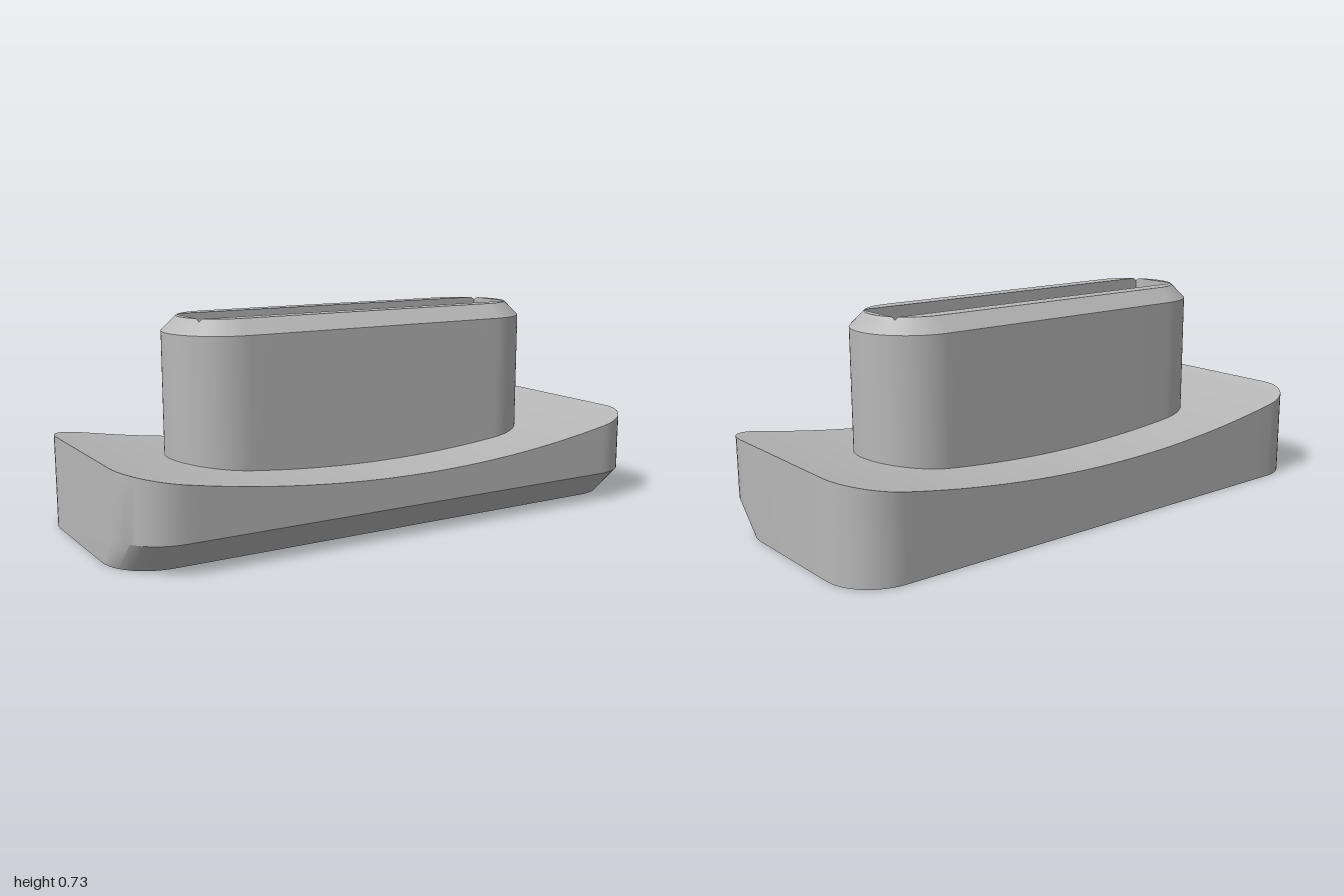
import * as THREE from 'three';
import { toCreasedNormals } from 'three/addons/utils/BufferGeometryUtils.js';

// Front half of a rounded outline, running from -x to +x as [x, z, normal angle]
function halfOutline(cx, cz, r, arcSteps, straightSteps) {
  const pts = [];
  for (let i = 0; i <= arcSteps; i++) {
    const a = Math.PI - (i / arcSteps) * Math.PI / 2;
    pts.push([-cx + r * Math.cos(a), cz + r * Math.sin(a), a]);
  }
  for (let i = 1; i < straightSteps; i++) {
    pts.push([-cx + (2 * cx * i) / straightSteps, cz + r, Math.PI / 2]);
  }
  for (let i = 0; i <= arcSteps; i++) {
    const a = (1 - i / arcSteps) * Math.PI / 2;
    pts.push([cx + r * Math.cos(a), cz + r * Math.sin(a), a]);
  }
  return pts;
}

// Closed ring: front half, then the back half in reverse
function ring(half, place) {
  const front = half.map((p) => place(p, 1));
  const back = half.map((p) => place(p, -1)).reverse();
  return front.concat(back);
}

// Skin a stack of rings and close both ends with cross strips
function loft(rings) {
  const pos = [];
  const ab = new THREE.Vector3(), ac = new THREE.Vector3();
  const tri = (a, b, c) => {
    ab.subVectors(b, a);
    ac.subVectors(c, a);
    if (ab.cross(ac).length() < 1e-9) return;
    for (const v of [a, b, c]) pos.push(v.x, v.y, v.z);
  };
  const quad = (a, b, c, d) => { tri(a, b, c); tri(a, c, d); };
  const n = rings[0].length;
  for (let k = 0; k + 1 < rings.length; k++) {
    const A = rings[k], B = rings[k + 1];
    for (let i = 0; i < n; i++) {
      const j = (i + 1) % n;
      quad(A[i], A[j], B[j], B[i]);
    }
  }
  const lo = rings[0], hi = rings[rings.length - 1];
  for (let i = 0; i + 1 < n / 2; i++) {
    const p = n - 1 - i, q = n - 2 - i;
    quad(hi[i], hi[i + 1], hi[q], hi[p]);
    quad(lo[p], lo[q], lo[i + 1], lo[i]);
  }
  const geo = new THREE.BufferGeometry();
  geo.setAttribute('position', new THREE.Float32BufferAttribute(pos, 3));
  return toCreasedNormals(geo, 0.5);
}

// Base block: dished top, front lower edge sheared back into a chamfer
function baseGeometry() {
  const half = halfOutline(0.83, 0.265, 0.17, 12, 32);
  const R = 4.6, chamfer = 0.105;
  const dish = (x) => 0.21 + R - Math.sqrt(R * R - x * x);
  return loft([
    ring(half, ([x, z], s) => new THREE.Vector3(x, 0, s * z - (s > 0 ? chamfer : 0))),
    ring(half, ([x, z], s) => new THREE.Vector3(x, chamfer, s * z)),
    ring(half, ([x, z], s) => new THREE.Vector3(x, dish(x), s * z)),
  ]);
}

// Stadium stem: chamfered rim, with a rectangular slot whose corners nick the chamfer
function stemGeometry() {
  const half = halfOutline(0.5, 0, 0.205, 24, 8);
  const bevel = 0.05, shoulder = 0.68, slotX = 0.63, slotZ = 0.1, slotFloor = 0.25;
  const inset = ([x, z, a], d) => [x - d * Math.cos(a), z - d * Math.sin(a)];
  const inSlot = ([x, z]) => Math.abs(x) < slotX && z < slotZ;
  // Bevel run, shortened wherever it would reach into the slot
  const run = (p) => {
    let d = bevel;
    while (inSlot(inset(p, d))) d -= 0.0005;
    return d;
  };
  const slotPoint = (p) => {
    const [x, z] = inset(p, run(p));
    return [THREE.MathUtils.clamp(x, -slotX, slotX), Math.min(z, slotZ)];
  };
  const level = (y) => ring(half, ([x, z], s) => new THREE.Vector3(x, y, s * z));
  const rim = ring(half, (p, s) => {
    const d = run(p), [x, z] = inset(p, d);
    return new THREE.Vector3(x, shoulder + d, s * z);
  });
  const slotEdge = ring(half, (p, s) => {
    const [x, z] = slotPoint(p);
    return new THREE.Vector3(x, shoulder + run(p), s * z);
  });
  const floor = ring(half, (p, s) => {
    const [x, z] = slotPoint(p);
    return new THREE.Vector3(x, slotFloor, s * z);
  });
  return loft([level(0.15), level(shoulder), rim, slotEdge, floor]);
}

export function createModel() {
  const grey = new THREE.MeshStandardMaterial({ color: 0xb8b8b8 });
  grey.name = 'grey';
  const group = new THREE.Group();
  group.name = 'slottedPlug';
  const parts = { base: baseGeometry(), slottedStem: stemGeometry() };
  for (const [name, geometry] of Object.entries(parts)) {
    const mesh = new THREE.Mesh(geometry, grey);
    mesh.name = name;
    group.add(mesh);
  }
  return group;
}
